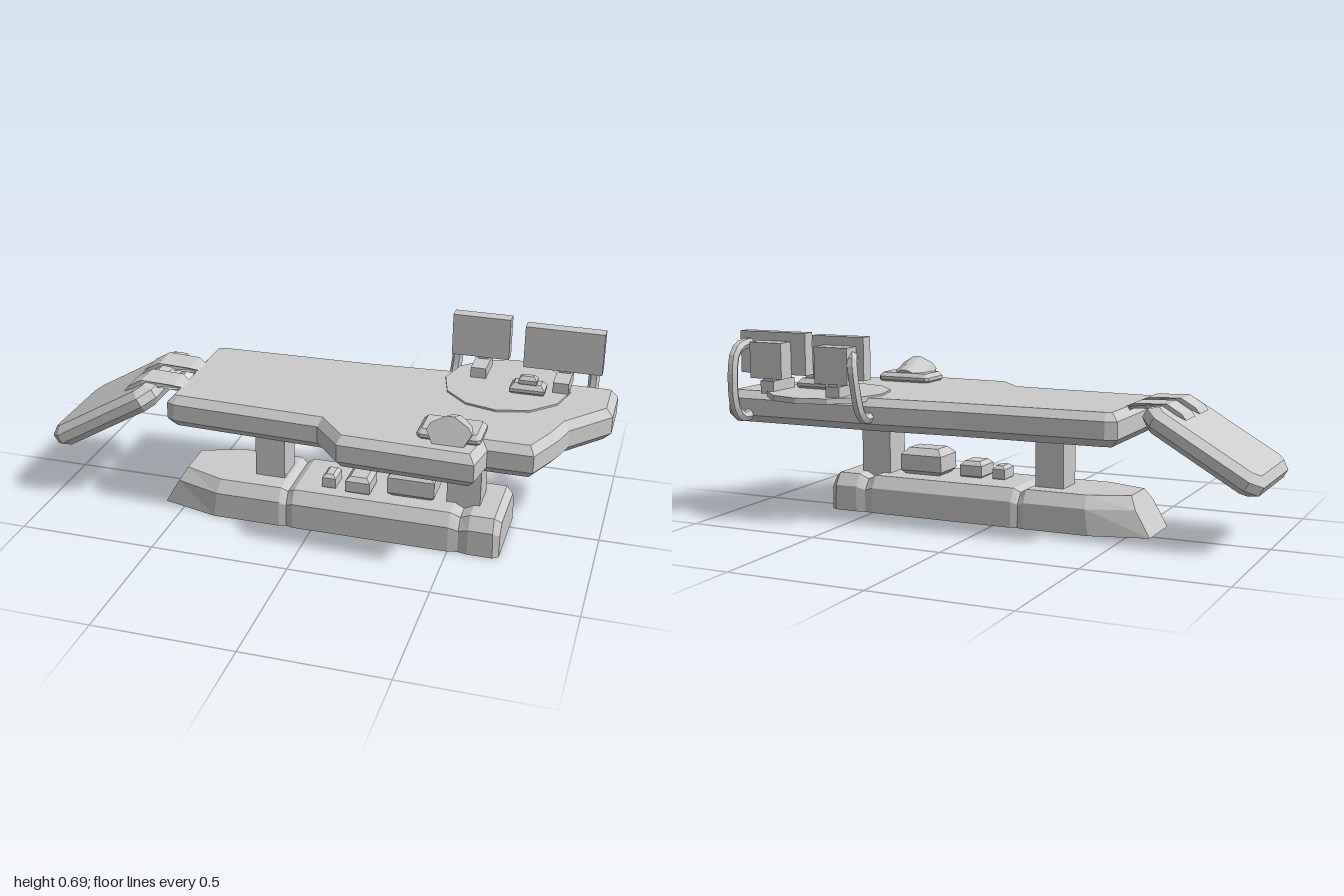
import * as THREE from 'three';

const grey = new THREE.MeshStandardMaterial({ color: 0xcccccc, flatShading: true });

export function createModel() {
  const root = new THREE.Group();

  const add = (name, geometry, parent = root) => {
    const mesh = new THREE.Mesh(geometry, grey);
    mesh.name = name;
    parent.add(mesh);
    return mesh;
  };

  // Box given by its limits on each axis
  const box = (name, x0, x1, y0, y1, z0, z1) =>
    add(name, new THREE.BoxGeometry(x1 - x0, y1 - y0, z1 - z0)
      .translate((x0 + x1) / 2, (y0 + y1) / 2, (z0 + z1) / 2));

  // Bevelled slab from an (x, z) outline, standing on y0
  const slab = (outline, y0, y1, size, thick) => {
    const shape = new THREE.Shape(outline.map(([x, z]) => new THREE.Vector2(x, -z)));
    return new THREE.ExtrudeGeometry(shape, {
      depth: y1 - y0 - 2 * thick, bevelEnabled: true, bevelSegments: 1,
      bevelSize: size, bevelOffset: -size, bevelThickness: thick,
    }).rotateX(-Math.PI / 2).translate(0, y0 + thick, 0);
  };

  const cutRect = (x0, x1, z0, z1, c) => [
    [x0 + c, z0], [x1 - c, z0], [x1, z0 + c], [x1, z1 - c],
    [x1 - c, z1], [x0 + c, z1], [x0, z1 - c], [x0, z0 + c],
  ];

  // Base piece lofted along x; station = [bottom x, top x, half width, height]
  const loft = (stations) => {
    const rings = stations.map(([xb, xt, w, h]) => {
      const s = h * 0.68, xs = xb + (xt - xb) * 0.68, t = w - 0.03;
      return [[xb, 0, -w], [xs, s, -w], [xt, h, -t], [xt, h, t], [xs, s, w], [xb, 0, w]];
    });
    const n = 6, index = [], last = (rings.length - 1) * n;
    for (let k = 0; k < last; k += n) {
      for (let i = 0; i < n; i++) {
        const a = k + i, b = k + (i + 1) % n;
        index.push(a, b, b + n, a, b + n, a + n);
      }
    }
    for (let i = 1; i < n - 1; i++) {
      index.push(0, i + 1, i, last, last + i, last + i + 1);
    }
    const g = new THREE.BufferGeometry();
    g.setAttribute('position', new THREE.Float32BufferAttribute(rings.flat(2), 3));
    g.setIndex(index);
    const flat = g.toNonIndexed();
    flat.computeVertexNormals();
    return flat.translate(0, 0, 0.075);
  };

  // Base in three joined pieces
  add('baseFoot', loft([
    [-0.58, -0.5, 0.1, 0.14], [-0.37, -0.35, 0.155, 0.14],
    [-0.12, -0.12, 0.155, 0.14], [-0.095, -0.095, 0.147, 0.125],
  ]));
  add('baseMiddle', loft([
    [-0.095, -0.095, 0.147, 0.125], [-0.07, -0.07, 0.155, 0.14],
    [0.5, 0.5, 0.155, 0.14], [0.535, 0.535, 0.147, 0.122],
  ]));
  add('baseHead', loft([
    [0.535, 0.535, 0.147, 0.122], [0.57, 0.57, 0.155, 0.14],
    [0.66, 0.655, 0.155, 0.14], [0.68, 0.68, 0.14, 0.12],
  ]));

  // Support posts
  for (const [x0, x1] of [[-0.24, -0.13], [0.47, 0.59]]) {
    box('post', x0, x1, 0.12, 0.37, 0.01, 0.125);
  }

  // Control boxes on the base
  for (const [x0, x1, h, z0, z1, c] of [
    [0.02, 0.07, 0.05, 0.07, 0.15, 0.012],
    [0.11, 0.2, 0.06, 0.06, 0.165, 0.015],
    [0.26, 0.43, 0.1, 0.02, 0.15, 0.025],
  ]) {
    add('controlBox', slab([[x0, z0], [x1, z0], [x1, z1], [x0, z1]], 0.13, 0.14 + h, c, c));
  }

  // Table top with a side bulge and a tapered nose
  add('tableTop', slab([
    [-0.53, -0.235], [-0.49, -0.252], [0.07, -0.265], [0.38, -0.285], [0.98, -0.29],
    [1, -0.27], [1, -0.095], [0.87, 0.055], [0.845, 0.14], [0.785, 0.28], [0.63, 0.28],
    [0.61, 0.4], [0.14, 0.385], [0.04, 0.272], [-0.5, 0.25], [-0.53, 0.235],
  ], 0.35, 0.468, 0.025, 0.028));

  // Tilted end rest
  const rest = add('endRest', slab(cutRect(-0.235, 0.235, -0.218, 0.218, 0.045),
    -0.042, 0.042, 0.03, 0.025));
  rest.position.set(-0.79, 0.34, 0.047);
  rest.rotation.z = 0.53;

  // Bent hinge straps joining the rest to the table
  const strap = new THREE.Shape([
    [-0.72, 0.435], [-0.705, 0.455], [-0.65, 0.487], [-0.53, 0.482], [-0.49, 0.465],
    [-0.5, 0.45], [-0.535, 0.465], [-0.64, 0.468],
  ].map(([x, y]) => new THREE.Vector2(x, y)));
  for (const z of [-0.085, 0.075]) {
    const g = new THREE.ExtrudeGeometry(strap, { depth: 0.107, bevelEnabled: false });
    const p = g.attributes.position;
    // Taper the table end
    for (let i = 0; i < p.count; i++) {
      if (p.getX(i) > -0.51) p.setZ(i, p.getZ(i) < 0.05 ? 0.025 : 0.082);
    }
    g.computeVertexNormals();
    add('hingeStrap', g.translate(0, 0, z));
  }

  // Round console plate
  add('consolePlate', new THREE.CylinderGeometry(0.226, 0.226, 0.02, 12)
    .translate(0.612, 0.465, -0.19)).name = 'consolePlate';

  // Screens with rear housings and stands
  for (const [x0, x1, z, sx, front] of [
    [0.39, 0.6, -0.315, 0.5, -0.215],
    [0.66, 0.94, -0.27, 0.805, -0.165],
  ]) {
    const mid = x0 + (x1 - x0) * 0.46;
    box('screen', x0, x1, 0.535, 0.69, z, z + 0.048);
    box('screenHousing', mid - 0.067, mid + 0.067, 0.525, 0.657, z - 0.065, z);
    box('screenStand', sx - 0.028, sx + 0.028, 0.465, 0.513, z - 0.035, front);
    box('screenNeck', sx - 0.02, sx + 0.02, 0.5, 0.545, z - 0.03, z + 0.01);
  }

  // Small control panel with a raised grip
  add('smallPanel', slab([[0.63, -0.185], [0.755, -0.185], [0.755, -0.115], [0.63, -0.115]],
    0.465, 0.512, 0.015, 0.018));
  add('smallGrip', slab([[0.66, -0.167], [0.725, -0.167], [0.725, -0.125], [0.66, -0.125]],
    0.5, 0.538, 0.012, 0.012));

  // Cables looping from the screens to the table edge
  const cable = (points, radius) => {
    const path = new THREE.CurvePath();
    const v = points.map((p) => new THREE.Vector3(...p));
    for (let i = 0; i < v.length - 1; i++) path.add(new THREE.LineCurve3(v[i], v[i + 1]));
    const curve = new THREE.CatmullRomCurve3(v, false, 'centripetal');
    add('cable', new THREE.TubeGeometry(curve, 14, radius, 6));
  };
  cable([
    [0.9, 0.645, -0.26], [0.9, 0.645, -0.31], [0.9, 0.622, -0.36], [0.9, 0.56, -0.38],
    [0.9, 0.43, -0.375], [0.9, 0.39, -0.35], [0.9, 0.375, -0.31], [0.9, 0.39, -0.27],
  ], 0.02);
  cable([
    [0.43, 0.62, -0.32], [0.415, 0.62, -0.35], [0.405, 0.59, -0.367], [0.395, 0.5, -0.365],
    [0.39, 0.425, -0.345], [0.39, 0.4, -0.31], [0.39, 0.405, -0.27],
  ], 0.02);

  // Pad and tilted faceted handset on the side bulge
  add('handsetPad', slab(cutRect(0.395, 0.612, 0.175, 0.315, 0.012), 0.46, 0.502, 0.015, 0.015));
  const faceted = new THREE.Shape([
    [-0.05, -0.05], [0.05, -0.05], [0.077, 0], [0.062, 0.022], [0.012, 0.052],
    [-0.015, 0.052], [-0.065, 0.025], [-0.077, 0],
  ].map(([x, y]) => new THREE.Vector2(x, y)));
  const handset = add('handset', new THREE.ExtrudeGeometry(faceted,
    { depth: 0.12, bevelEnabled: false }).translate(0, 0, -0.06));
  handset.position.set(0.507, 0.487, 0.264);
  handset.rotation.x = -0.38;

  return root;
}
